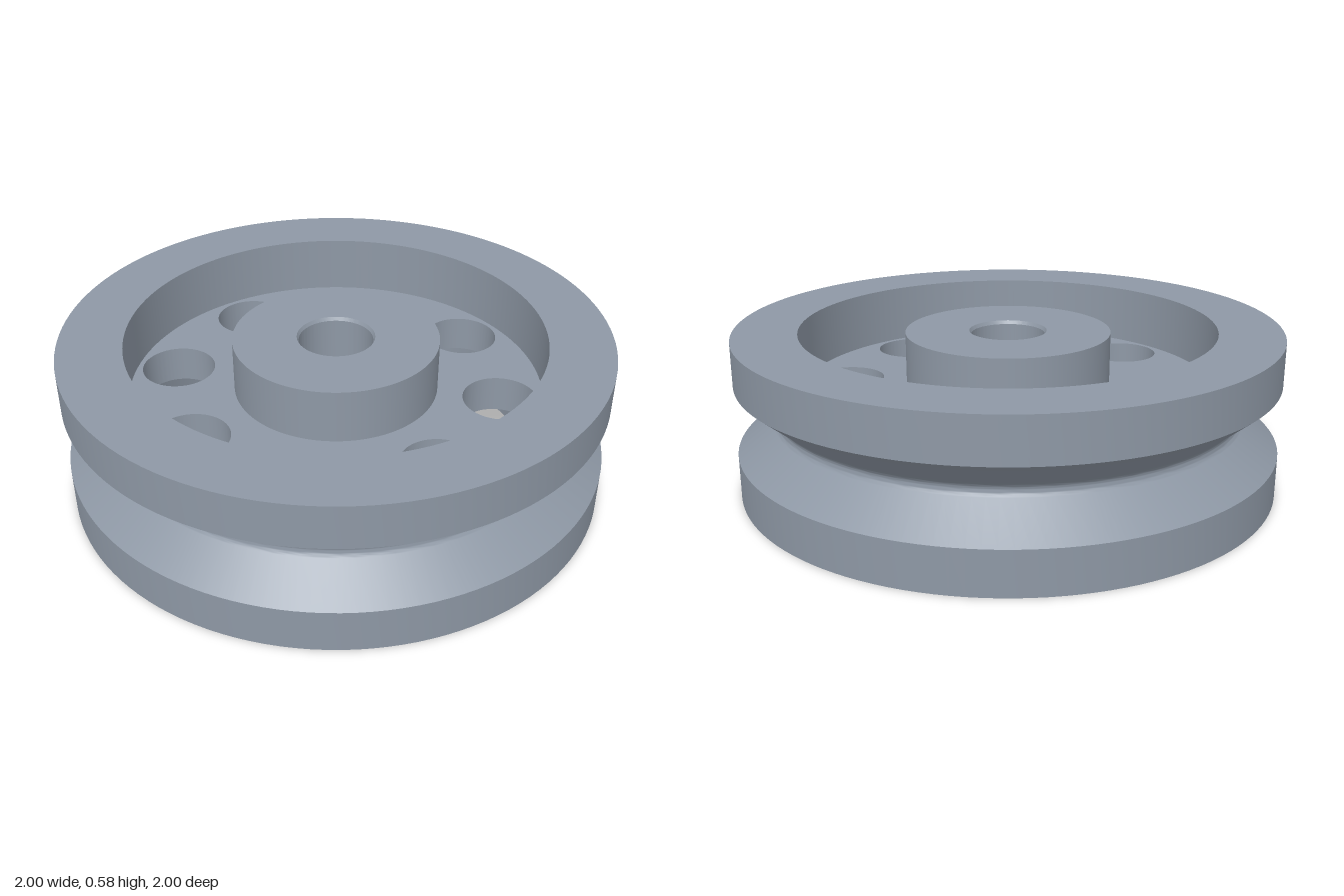
import * as THREE from 'three';
import { toCreasedNormals } from 'three/addons/utils/BufferGeometryUtils.js';

const H = 0.58;            // overall height
const MID = H / 2;
const RIM_INNER = 0.765;
const HUB_R = 0.378;

const steel = new THREE.MeshStandardMaterial({ color: 0x8e98a5 });
steel.name = 'greySteel';

function addMesh(group, name, geometry) {
  const mesh = new THREE.Mesh(toCreasedNormals(geometry, 0.45), steel);
  mesh.name = name;
  group.add(mesh);
  return mesh;
}

// Closed ring turned from [radius, height] pairs, anticlockwise
function turned(profile) {
  const points = [...profile, profile[0]].map(([r, y]) => new THREE.Vector2(r, y));
  return new THREE.LatheGeometry(points, 128);
}

export function createModel() {
  const pulley = new THREE.Group();
  pulley.name = 'groovedPulleyWheel';

  // Rim with a V groove rounded at its root
  const root = [];
  const slope = THREE.MathUtils.degToRad(50);
  for (let i = 0; i <= 12; i++) {
    const a = slope * (i / 6 - 1);
    root.push([0.89 - 0.029 * Math.cos(a), MID + 0.029 * Math.sin(a)]);
  }
  addMesh(pulley, 'rim', turned([
    [RIM_INNER, 0], [1, 0], [1, 0.16], ...root, [1, 0.42], [1, H], [RIM_INNER, H],
  ]));

  // Hub, slightly recessed from the rim faces, with a chamfered bore
  const y0 = 0.02, y1 = H - 0.02, bore = 0.136, mouth = 0.143, c = 0.013;
  addMesh(pulley, 'hub', turned([
    [mouth, y0], [HUB_R, y0], [HUB_R, y1], [mouth, y1], [bore, y1 - c], [bore, y0 + c],
  ]));

  // Web plate with eight round lightening holes
  const web = new THREE.Shape().absarc(0, 0, RIM_INNER + 0.01, 0, Math.PI * 2, false);
  const addHole = (x, y, r) =>
    web.holes.push(new THREE.Path().absarc(x, y, r, 0, Math.PI * 2, true));
  addHole(0, 0, HUB_R - 0.01);
  for (let i = 0; i < 8; i++) {
    const a = (i + 0.5) * Math.PI / 4;
    addHole(0.61 * Math.cos(a), 0.61 * Math.sin(a), 0.137);
  }
  const plate = new THREE.ExtrudeGeometry(web, { depth: 0.14, bevelEnabled: false, curveSegments: 64 });
  plate.rotateX(-Math.PI / 2).translate(0, MID - 0.07, 0);
  addMesh(pulley, 'web', plate);

  return pulley;
}
